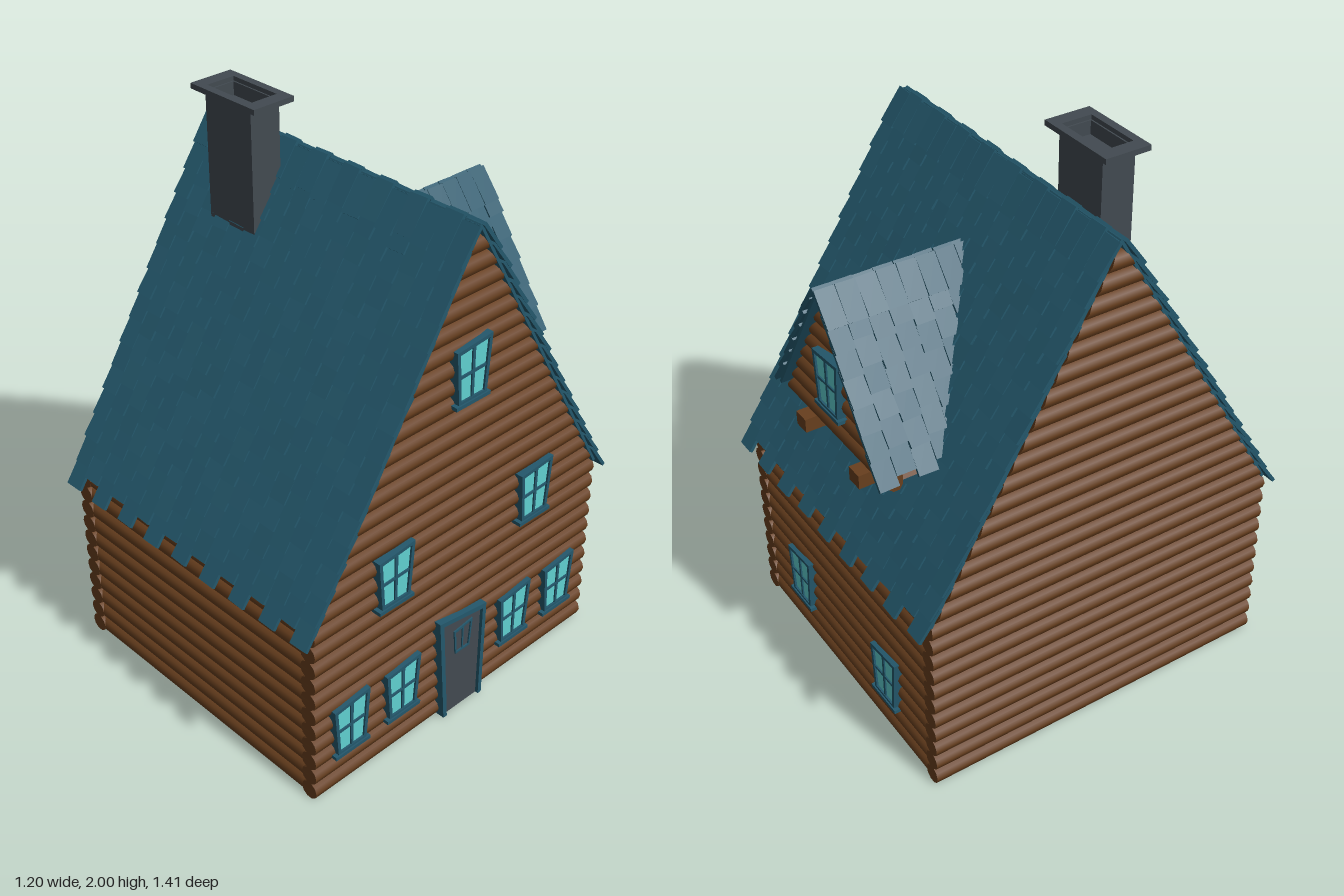
import * as THREE from 'three';
import { mergeGeometries } from 'three/addons/utils/BufferGeometryUtils.js';

const material = (name, color) => Object.assign(new THREE.MeshStandardMaterial({ color }), { name });

export function createModel() {
  const wood = material('logBrown', 0x683f1e);
  const teal = material('shingleTeal', 0x24586c);
  const glass = material('windowGlass', 0x60d0d0);
  const stone = material('slateGrey', 0x424a51);

  let seed = 7;
  const jitter = (a) => {
    seed = (seed * 16807) % 2147483647;
    return (seed / 2147483647 - 0.5) * 2 * a;
  };

  const model = new THREE.Group();
  model.name = 'logCabin';

  const add = (parent, name, geometry, mat, x = 0, y = 0, z = 0) => {
    const mesh = new THREE.Mesh(geometry, mat);
    mesh.name = name;
    mesh.position.set(x, y, z);
    parent.add(mesh);
    return mesh;
  };
  const group = (parent, name, x = 0, y = 0, z = 0, turn = 0) => {
    const g = new THREE.Group();
    g.name = name;
    g.position.set(x, y, z);
    g.rotation.y = turn;
    parent.add(g);
    return g;
  };
  // Extruded polygon with an optional polygonal hole, starting at z = 0
  const plate = (points, depth, hole) => {
    const shape = new THREE.Shape(points.map(([x, y]) => new THREE.Vector2(x, y)));
    if (hole) shape.holes.push(new THREE.Path(hole.map(([x, y]) => new THREE.Vector2(x, y))));
    return new THREE.ExtrudeGeometry(shape, { depth, bevelEnabled: false });
  };
  const rect = (w, h) => [[-w / 2, -h / 2], [w / 2, -h / 2], [w / 2, h / 2], [-w / 2, h / 2]];

  // Stack of logs along x, with ends cut to follow halfWidth(y)
  const PITCH = 0.0637;
  const logStack = (count, y0, halfWidth) => {
    const logs = [];
    for (let i = 0; i < count; i++) {
      const y = y0 + PITCH * (i + 0.5);
      const log = new THREE.CylinderGeometry(0.0335, 0.0335, 1, 10).rotateZ(Math.PI / 2);
      const p = log.attributes.position;
      for (let v = 0; v < p.count; v++) {
        const py = Math.max(y0, p.getY(v) + y);
        p.setXYZ(v, Math.sign(p.getX(v)) * Math.max(0.002, halfWidth(py)), py, p.getZ(v));
      }
      logs.push(log);
    }
    return mergeGeometries(logs);
  };

  // One roof slope: a board under staggered, slightly crooked shingles
  const roofSlope = (parent, name, turn, { width, columns, rows, run, drop, tab }) => {
    const side = group(parent, name, 0, 0, 0, turn);
    const slope = group(side, name + 'Pitch');
    slope.rotation.x = Math.atan2(drop, run);
    const length = Math.hypot(run, drop);
    const step = (length - tab) / rows;
    const w = width / columns;
    add(slope, 'roofBoard', new THREE.BoxGeometry(width - 0.02, 0.01, length - tab - 0.01),
      teal, 0, -0.005, (length - tab) / 2);
    const tiles = [];
    for (let r = 0; r < rows; r++) {
      for (let c = 0; c < columns; c++) {
        const tileLength = step * 1.45;
        const end = (r + 1) * step + (c % 2 ? 0 : tab) + jitter(0.004);
        const tile = new THREE.BoxGeometry(w * 0.98, 0.012, tileLength);
        tile.rotateY(jitter(0.035)).rotateX(-0.1 + jitter(0.02)).rotateZ(jitter(0.03));
        tile.translate((c + 0.5) * w - width / 2, 0.011, Math.max(end - tileLength / 2, tileLength / 2));
        tiles.push(tile);
      }
    }
    add(slope, 'shingles', mergeGeometries(tiles), teal);
  };

  // Crooked four-pane window facing local +z
  const addWindow = (parent, x, y, z, turn) => {
    const w = group(parent, 'window', x, y, z, turn);
    const outer = [[-0.06, -0.1], [0.062, -0.1], [0.078, 0.106], [-0.076, 0.092]];
    const inner = outer.map(([a, b]) => [a * 0.82, b * 0.87]);
    add(w, 'windowFrame', plate(outer, 0.034, inner), teal, 0, 0, -0.02);
    add(w, 'windowPane', plate(inner, 0.008), glass, 0, 0, -0.001);
    add(w, 'uprightBar', plate([[-0.004, -0.09], [0.006, -0.09], [0.006, 0.088], [-0.006, 0.088]], 0.006), teal, 0, 0, 0.006);
    add(w, 'crossBar', plate([[-0.054, -0.007], [0.055, -0.003], [0.056, 0.006], [-0.055, 0.003]], 0.006), teal, 0, 0, 0.006);
    add(w, 'windowSill', new THREE.BoxGeometry(0.15, 0.013, 0.038), teal, 0, -0.102, 0);
  };

  // Walls: solid core, then logs on all four sides
  const house = group(model, 'house', -0.011);
  const core = plate([[-0.625, 0.002], [0.625, 0.002], [0.625, 0.69], [0, 1.78], [-0.625, 0.69]], 1.11);
  add(house, 'wallCore', core.translate(0, 0, -0.555).rotateY(Math.PI / 2), wood);
  const gableHalf = (y) => Math.min(0.655, (1.815 - y) * 0.58);
  for (const s of [-1, 1]) {
    const gable = add(house, 'gableLogs', logStack(28, 0, gableHalf), wood, s * 0.557);
    gable.rotation.y = Math.PI / 2;
    add(house, s > 0 ? 'frontWallLogs' : 'backWallLogs', logStack(11, 0, () => 0.56), wood, 0, 0, s * 0.622);
  }

  // Main roof
  const roof = group(house, 'mainRoof', 0.005, 1.83, 0);
  const mainRoof = { width: 1.19, columns: 17, rows: 15, run: 0.685, drop: 1.18, tab: 0.05 };
  roofSlope(roof, 'frontSlope', 0, mainRoof);
  roofSlope(roof, 'backSlope', Math.PI, mainRoof);

  // Windows on the door gable and on the back wall
  const gableWindows = [[0.017, 1.35], [0.325, 0.74], [-0.325, 0.74],
    [0.51, 0.255], [0.28, 0.255], [-0.26, 0.255], [-0.49, 0.255]];
  for (const [z, y] of gableWindows) addWindow(model, 0.58, y, z, Math.PI / 2);
  for (const x of [0.275, -0.3]) addWindow(model, x, 0.255, -0.657, Math.PI);

  // Crooked door, set deep into the wall
  const door = group(model, 'door', 0.58, 0, 0, Math.PI / 2);
  const leaf = [[-0.07, 0], [0.085, 0], [0.085, 0.382], [-0.103, 0.411]];
  add(door, 'doorFrame', plate([[-0.087, 0], [-0.07, 0], [-0.103, 0.411], [0.085, 0.382],
    [0.085, 0], [0.101, 0], [0.101, 0.398], [-0.123, 0.432]], 0.06), teal, 0, 0, -0.04);
  add(door, 'doorLeaf', plate(leaf, 0.128), stone, 0, 0, -0.12);
  add(door, 'doorWindowFrame', plate(
    [[-0.034, 0.25], [0.034, 0.25], [0.044, 0.362], [-0.044, 0.35]], 0.006,
    [[-0.028, 0.257], [0.028, 0.257], [0.036, 0.353], [-0.036, 0.342]]), teal, 0, 0, 0.007);
  add(door, 'doorWindowBar', plate([[-0.003, 0.255], [0.003, 0.255], [0.003, 0.352], [-0.003, 0.352]], 0.005), teal, 0, 0, 0.007);

  // Chimney with a flared open rim
  const chimney = group(model, 'chimney', -0.305, 0, 0.12);
  const up = (g) => g.rotateX(-Math.PI / 2);
  add(chimney, 'chimneyShaft', up(plate(rect(0.21, 0.115), 0.5, rect(0.19, 0.095))), stone, 0, 1.485, 0);
  add(chimney, 'chimneyFill', new THREE.BoxGeometry(0.192, 0.44, 0.097), stone, 0, 1.72, 0);
  add(chimney, 'chimneyRim', up(plate(rect(0.295, 0.16), 0.018, rect(0.2, 0.105))), stone, 0, 1.982, 0);

  // Dormer on the back slope
  const dormer = group(model, 'dormer', -0.015);
  add(dormer, 'dormerCore', plate([[-0.3, 1.045], [0.3, 1.045], [0, 1.55]], 0.46), wood, 0, 0, -0.61);
  add(dormer, 'dormerLogs', logStack(8, 1.035, (y) => (1.575 - y) * 0.6), wood, 0, 0, -0.607);
  const dormerRoof = group(dormer, 'dormerRoof', 0, 1.59, -0.4);
  const slope = { width: 0.55, columns: 8, rows: 7, run: 0.325, drop: 0.53, tab: 0.025 };
  roofSlope(dormerRoof, 'leftSlope', Math.PI / 2, slope);
  roofSlope(dormerRoof, 'rightSlope', -Math.PI / 2, slope);
  addWindow(dormer, 0, 1.25, -0.642, Math.PI);
  for (const x of [-0.17, 0.17]) {
    add(dormer, 'dormerBeam', new THREE.BoxGeometry(0.06, 0.05, 0.3), wood, x, 1.008, -0.518);
  }

  return model;
}
